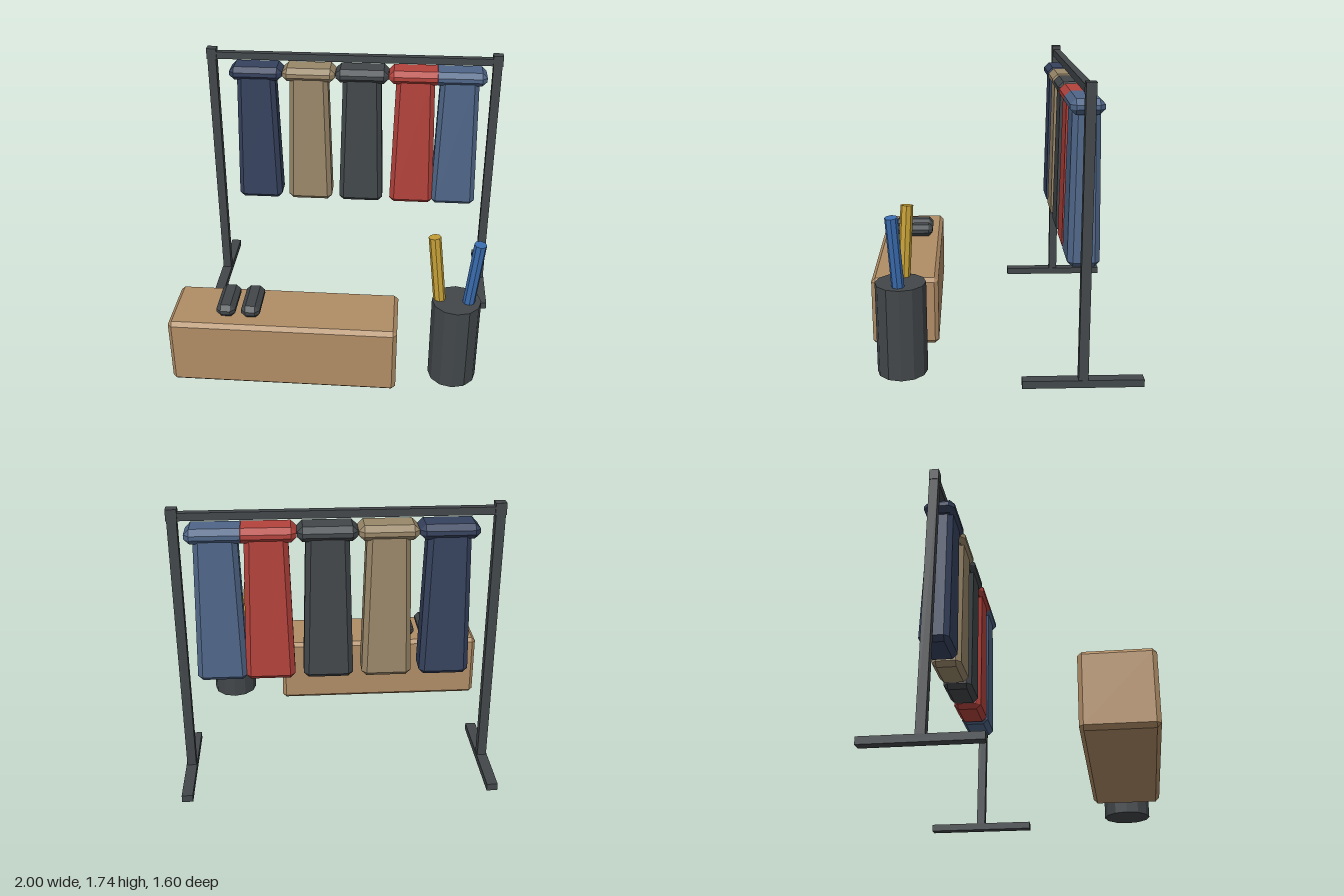
import * as THREE from 'three';
import { ConvexGeometry } from 'three/addons/geometries/ConvexGeometry.js';

function material(name, color) {
  const m = new THREE.MeshStandardMaterial({ color, flatShading: true });
  m.name = name;
  return m;
}

// Box with bevelled edges; the top can be narrower than the bottom
function bevelledBlock(w, h, d, bevel, topX = 1, topZ = 1) {
  const points = [];
  for (const sx of [-1, 1]) for (const sy of [-1, 1]) for (const sz of [-1, 1]) {
    const x = w / 2 * (sy > 0 ? topX : 1), y = h / 2, z = d / 2 * (sy > 0 ? topZ : 1);
    points.push(
      new THREE.Vector3(sx * x, sy * (y - bevel), sz * (z - bevel)),
      new THREE.Vector3(sx * (x - bevel), sy * y, sz * (z - bevel)),
      new THREE.Vector3(sx * (x - bevel), sy * (y - bevel), sz * z));
  }
  return new ConvexGeometry(points);
}

export function createModel() {
  const model = new THREE.Group();
  model.name = 'clothesRackSet';

  const charcoal = material('charcoal', 0x42474a);
  const navy = material('navy', 0x36425e);
  const beige = material('beige', 0x998769);
  const red = material('red', 0xb3423c);
  const denim = material('denim', 0x4f6688);
  const wood = material('wood', 0xb08d66);
  const yellow = material('yellow', 0xc49f37);
  const blue = material('blue', 0x3b6db0);

  const add = (parent, name, geometry, mat, x, y, z) => {
    const mesh = new THREE.Mesh(geometry, mat);
    mesh.name = name;
    mesh.position.set(x, y, z);
    parent.add(mesh);
    return mesh;
  };

  // Rack frame
  const rackZ = -0.453;
  const rack = new THREE.Group();
  rack.name = 'rackFrame';
  model.add(rack);
  for (const [side, x] of [['right', -0.889], ['left', 0.963]]) {
    add(rack, side + 'Foot', new THREE.BoxGeometry(0.066, 0.045, 0.695), charcoal, x, 0.0225, rackZ);
    add(rack, side + 'Post', new THREE.BoxGeometry(0.056, 1.68, 0.056), charcoal, x, 0.865, rackZ);
    add(rack, side + 'PostCap', new THREE.BoxGeometry(0.064, 0.07, 0.058), charcoal, x, 1.7, rackZ);
  }
  add(rack, 'rail', new THREE.BoxGeometry(1.85, 0.046, 0.044), charcoal, 0.037, 1.688, rackZ);

  // Hanging garments: flared body under a wider shoulder block
  const shoulderGeometry = bevelledBlock(0.346, 0.09, 0.192, 0.032);
  const bodyGeometry = bevelledBlock(0.297, 0.92, 0.184, 0.03, 0.84, 0.85);
  const garments = [
    ['navyGarment', navy, -0.599], ['beigeGarment', beige, -0.252],
    ['charcoalGarment', charcoal, 0.096], ['redGarment', red, 0.443], ['denimGarment', denim, 0.728],
  ];
  for (const [name, mat, x] of garments) {
    const garment = new THREE.Group();
    garment.name = name;
    add(garment, 'shoulders', shoulderGeometry, mat, x, 1.586, rackZ);
    add(garment, 'body', bodyGeometry, mat, x, 1.135, rackZ);
    model.add(garment);
  }

  // Bench with a pair of shoes on it
  add(model, 'bench', bevelledBlock(1.385, 0.438, 0.414, 0.024), wood, -0.309, 0.219, 0.588);
  const shoeGeometry = bevelledBlock(0.114, 0.08, 0.275, 0.028);
  add(model, 'rightShoe', shoeGeometry, charcoal, -0.657, 0.478, 0.582);
  add(model, 'leftShoe', shoeGeometry, charcoal, -0.507, 0.478, 0.582);

  // Umbrella stand and the two leaning rods
  add(model, 'umbrellaStand', new THREE.CylinderGeometry(0.148, 0.148, 0.553, 12), charcoal, 0.733, 0.2765, 0.584);
  const rod = (name, mat, from, to) => {
    const a = new THREE.Vector3(...from), b = new THREE.Vector3(...to);
    const dir = b.clone().sub(a);
    const mid = a.clone().add(b).multiplyScalar(0.5);
    const mesh = add(model, name, new THREE.CylinderGeometry(0.037, 0.037, dir.length(), 8), mat, mid.x, mid.y, mid.z);
    mesh.quaternion.setFromUnitVectors(new THREE.Vector3(0, 1, 0), dir.normalize());
  };
  rod('yellowRod', yellow, [0.636, 0.5, 0.572], [0.583, 0.97, 0.545]);
  rod('blueRod', blue, [0.801, 0.5, 0.59], [0.844, 0.973, 0.616]);

  return model;
}
